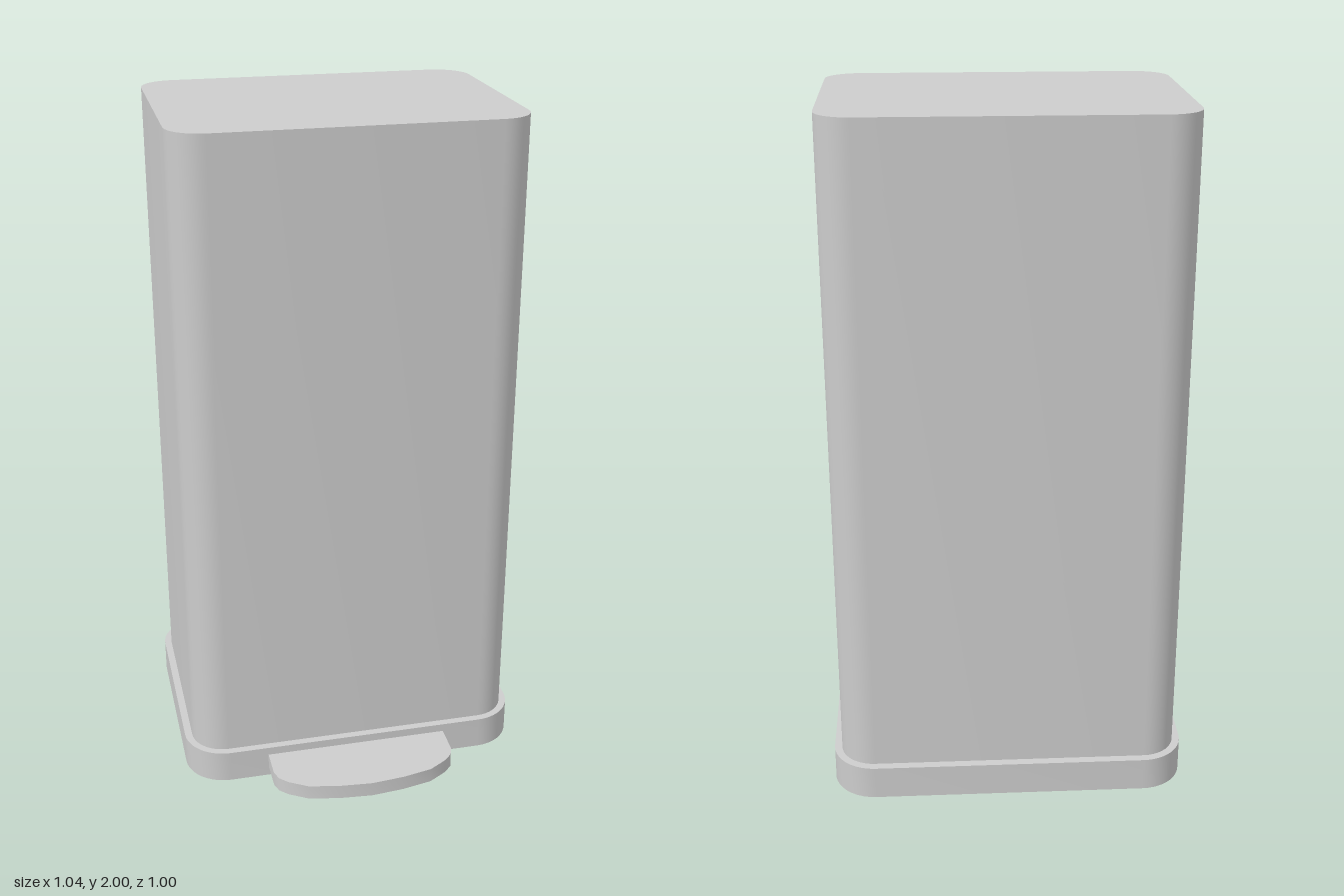
import * as THREE from 'three';
import { toCreasedNormals } from 'three/addons/utils/BufferGeometryUtils.js';

// Plan outline with rounded corners; shape y becomes -z once laid flat
function roundedPlan(halfW, halfD, r) {
  const s = new THREE.Shape();
  const x = halfW - r, y = halfD - r;
  s.absarc(x, y, r, 0, Math.PI / 2);
  s.absarc(-x, y, r, Math.PI / 2, Math.PI);
  s.absarc(-x, -y, r, Math.PI, Math.PI * 1.5);
  s.absarc(x, -y, r, Math.PI * 1.5, Math.PI * 2);
  s.closePath();
  return s;
}

// Upright slab from a plan outline, smooth around its corners
function slab(name, shape, y0, y1, z, material) {
  const geo = new THREE.ExtrudeGeometry(shape, { depth: y1 - y0, bevelEnabled: false, curveSegments: 5 });
  geo.rotateX(-Math.PI / 2);
  const mesh = new THREE.Mesh(toCreasedNormals(geo, 0.65), material);
  mesh.name = name;
  mesh.position.set(0, y0, z);
  return mesh;
}

export function createModel() {
  const group = new THREE.Group();
  group.name = 'pedalBin';
  const grey = new THREE.MeshStandardMaterial({ color: 0xcccccc });
  grey.name = 'lightGrey';

  // Tall bin body standing on a slightly wider base
  group.add(slab('body', roundedPlan(0.5, 0.373, 0.1), 0.1, 2, -0.102, grey));
  group.add(slab('base', roundedPlan(0.522, 0.397, 0.125), 0, 0.1, -0.103, grey));

  // Foot pedal with a bowed front edge, given as x and z of its right half
  const half = [[0.28, 0.28], [0.28, 0.385], [0.27, 0.415], [0.245, 0.44], [0.19, 0.473], [0.1, 0.491]];
  const outline = [
    ...half.map(([x, z]) => new THREE.Vector2(-x, -z)),
    new THREE.Vector2(0, -0.5),
    ...half.slice().reverse().map(([x, z]) => new THREE.Vector2(x, -z)),
  ];
  group.add(slab('pedal', new THREE.Shape(outline), 0.03, 0.075, 0, grey));

  return group;
}
